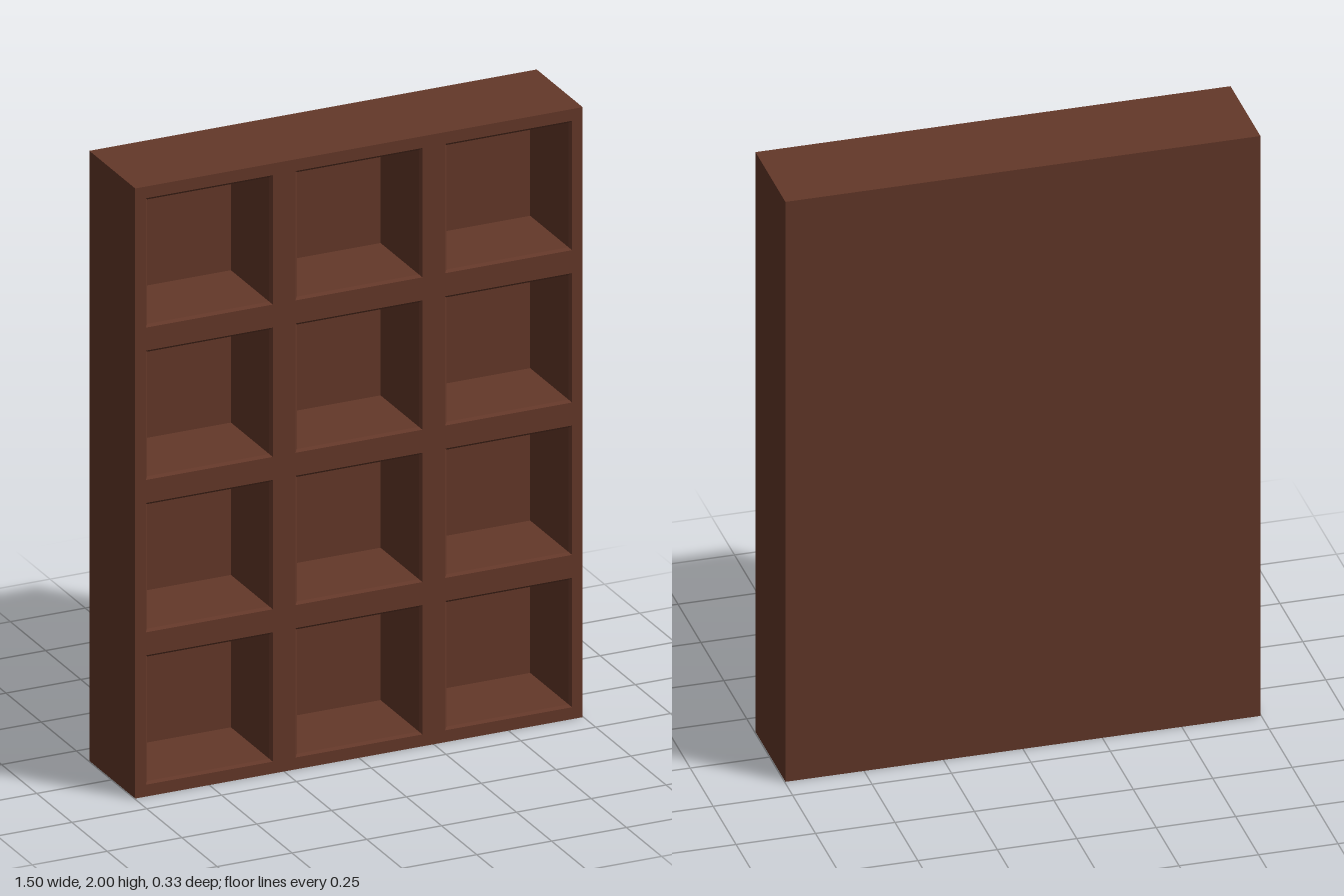
import * as THREE from 'three';

const W = 1.495, H = 2, D = 0.326;
const BACK = 0.046;      // back panel thickness
const CHAMFER = 0.008;   // small chamfer around each opening
const HALF = 0.204;      // half size of a compartment
const material = new THREE.MeshStandardMaterial({ color: 0x643829, flatShading: true });
const chamferMaterial = new THREE.MeshStandardMaterial({
  color: 0x643829, flatShading: true, side: THREE.DoubleSide
});

// Centres of the 3 x 4 compartments
const cells = [];
for (let row = 0; row < 4; row++) {
  for (let col = -1; col <= 1; col++) cells.push([col * 0.5, 0.251 + row * 0.4995]);
}

function rectangle(path, x, y, hw, hh) {
  path.moveTo(x - hw, y - hh);
  path.lineTo(x + hw, y - hh);
  path.lineTo(x + hw, y + hh);
  path.lineTo(x - hw, y + hh);
  path.closePath();
  return path;
}

// Slab pierced by square openings
function lattice(name, half, z, depth) {
  const shape = rectangle(new THREE.Shape(), 0, H / 2, W / 2, H / 2);
  for (const [x, y] of cells) shape.holes.push(rectangle(new THREE.Path(), x, y, half, half));
  const geometry = new THREE.ExtrudeGeometry(shape, { depth, bevelEnabled: false });
  geometry.translate(0, 0, z);
  const mesh = new THREE.Mesh(geometry, material);
  mesh.name = name;
  return mesh;
}

export function createModel() {
  const group = new THREE.Group();
  group.name = 'cubbyShelf';

  // Closed back
  const back = new THREE.Mesh(new THREE.BoxGeometry(W, H, BACK), material);
  back.position.set(0, H / 2, -D / 2 + BACK / 2);
  back.name = 'backPanel';
  group.add(back);

  // Shelves and dividers, then the thin front edge with wider openings
  group.add(lattice('shelvesAndDividers', HALF, -D / 2 + BACK, D - BACK - CHAMFER));
  group.add(lattice('frontEdge', HALF + CHAMFER, D / 2 - CHAMFER, CHAMFER));

  // Sloped rims joining the wide and narrow openings
  const rim = new THREE.CylinderGeometry(
    (HALF + CHAMFER) * Math.SQRT2, HALF * Math.SQRT2, CHAMFER, 4, 1, true);
  rim.rotateY(Math.PI / 4);
  rim.rotateX(Math.PI / 2);
  for (const [x, y] of cells) {
    const mesh = new THREE.Mesh(rim, chamferMaterial);
    mesh.position.set(x, y, D / 2 - CHAMFER / 2);
    mesh.name = 'compartmentRim';
    group.add(mesh);
  }
  return group;
}
